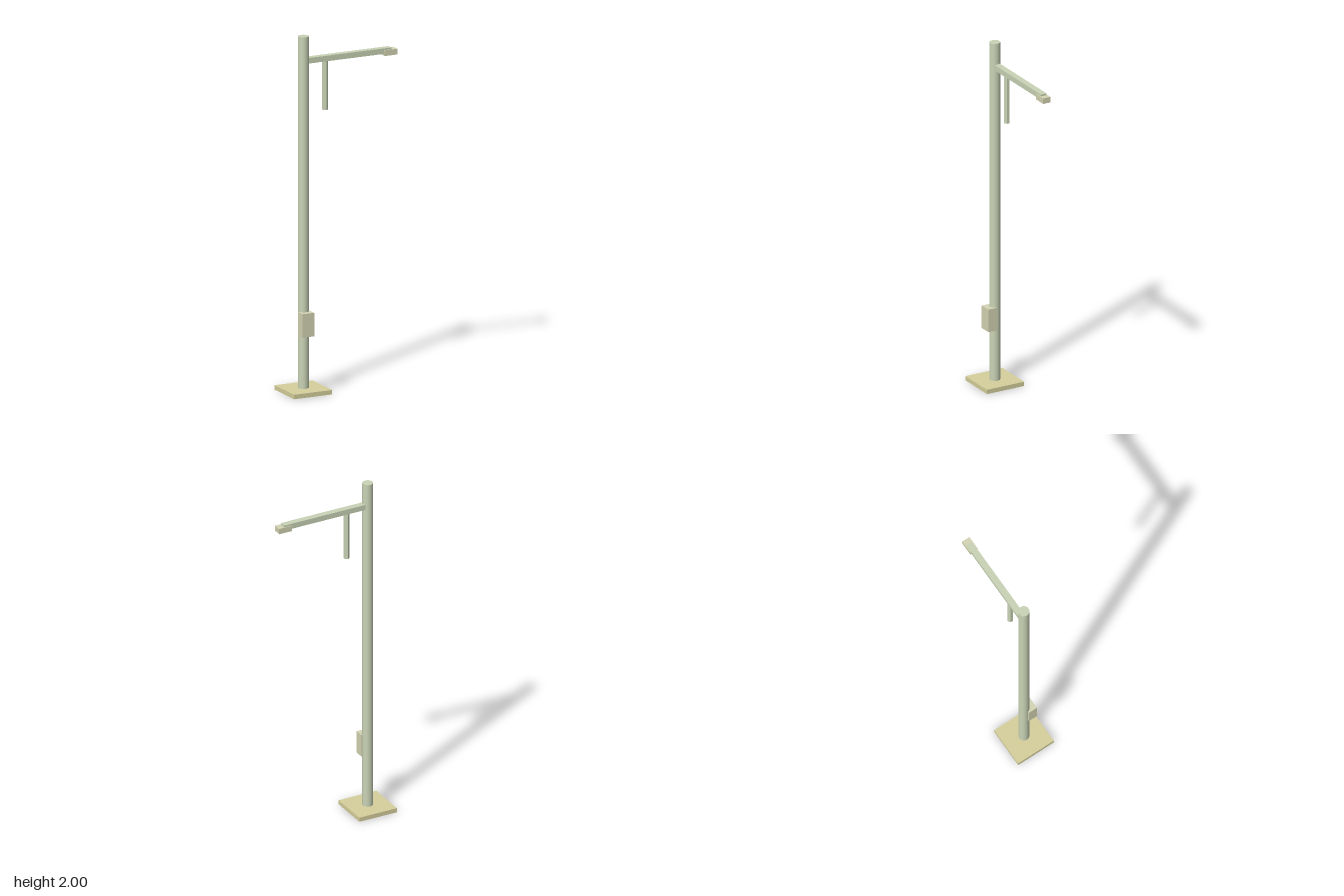
import * as THREE from 'three';

export function createModel() {
  const group = new THREE.Group();
  const green = new THREE.MeshStandardMaterial({ color: 0xc9d3b5 });
  const greenFlat = new THREE.MeshStandardMaterial({ color: 0xc9d3b5, flatShading: true });
  const sand = new THREE.MeshStandardMaterial({ color: 0xd6d09c });
  const pale = new THREE.MeshStandardMaterial({ color: 0xd4d4b4 });

  const add = (name, geometry, material, x, y, z) => {
    const mesh = new THREE.Mesh(geometry, material);
    mesh.name = name;
    mesh.position.set(x, y, z);
    group.add(mesh);
  };
  // Box given by its [min, max] range on each axis
  const addBox = (name, material, x, y, z) => add(
    name,
    new THREE.BoxGeometry(x[1] - x[0], y[1] - y[0], z[1] - z[0]),
    material,
    (x[0] + x[1]) / 2, (y[0] + y[1]) / 2, (z[0] + z[1]) / 2,
  );

  // Square foot and round pole
  const poleX = -0.223;
  addBox('basePlate', sand, [-0.34, -0.107], [0, 0.025], [-0.117, 0.117]);
  add('pole', new THREE.CylinderGeometry(0.03, 0.03, 1.98, 24), green, poleX, 1.01, 0);

  // Control box on the front of the pole
  addBox('controlBox', pale, [-0.26, -0.188], [0.323, 0.455], [0.008, 0.061]);

  // Side arm with the head at its tip
  addBox('arm', green, [-0.21, 0.306], [1.847, 1.878], [-0.018, 0.018]);
  addBox('armHead', pale, [0.261, 0.339], [1.836, 1.868], [-0.0235, 0.0235]);

  // Slim six-sided rod hanging below the arm
  add('hangingRod', new THREE.CylinderGeometry(0.017, 0.017, 0.28, 6), greenFlat, -0.092, 1.712, 0);

  return group;
}
